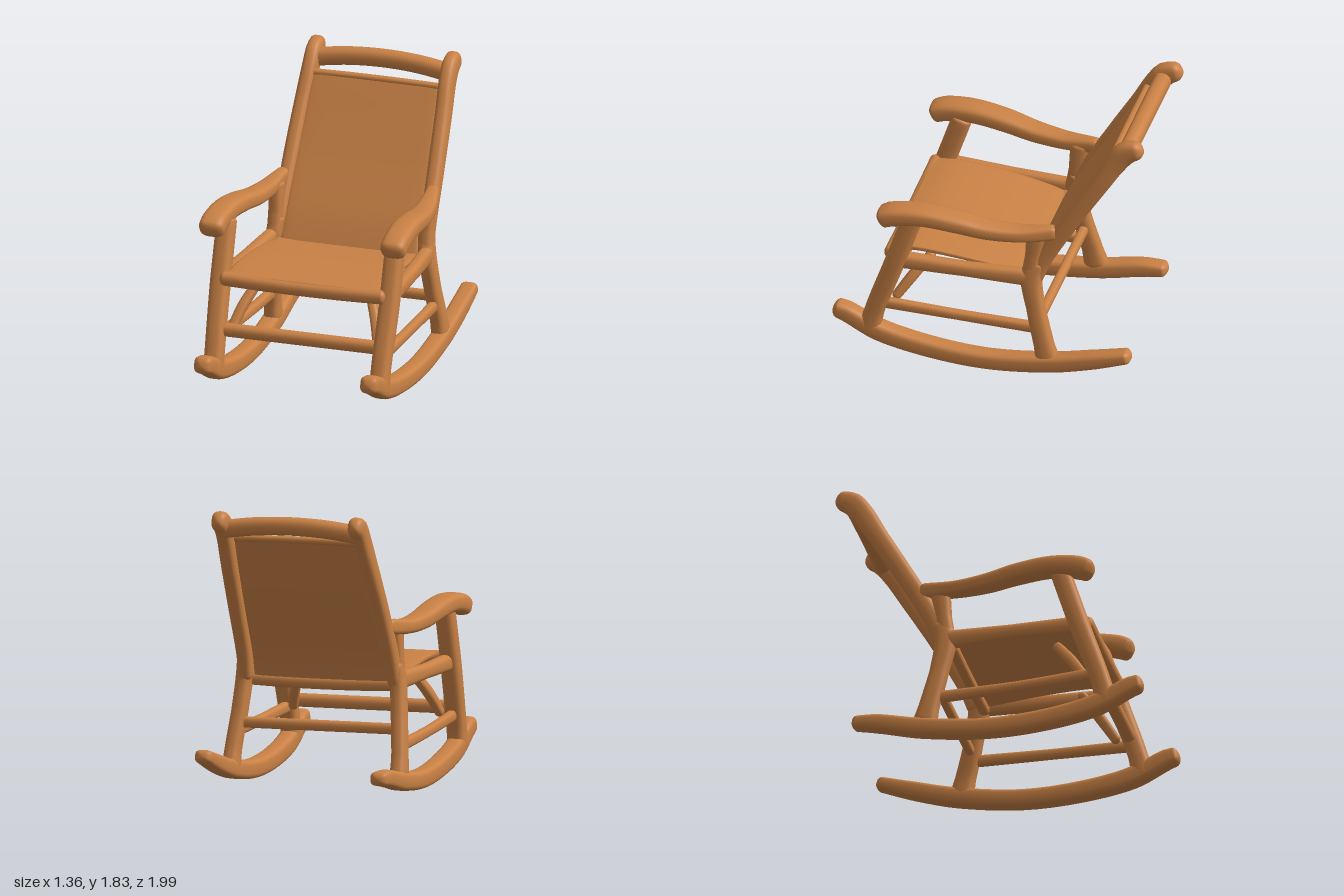
import * as THREE from 'three';

const wood = new THREE.MeshStandardMaterial({ color: 0xc98145 });
wood.name = 'warm wood';

const X = new THREE.Vector3(1, 0, 0);
const Z = new THREE.Vector3(0, 0, 1);

// Sweeps a rounded-box section along points [x, y, z, width, height].
// Width runs along ref; power < 1 squares the section; cap is the length of the domed ends.
function sweep(points, ref, { power = 0.75, cap = 0.03, steps = 28, sides = 24 } = {}) {
  const path = new THREE.CatmullRomCurve3(points.map(p => new THREE.Vector3(p[0], p[1], p[2])), false, 'centripetal');
  const size = t => {
    const f = Math.min(t, 0.99999) * (points.length - 1), i = Math.floor(f), k = f - i;
    return [3, 4].map(c => points[i][c] * (1 - k) + points[i + 1][c] * k);
  };
  const length = path.getLength(), rings = [];
  for (let i = 0; i < 6; i++) {
    const a = i / 6 * Math.PI / 2;
    rings.push([cap * (1 - Math.cos(a)) / length, Math.max(Math.sin(a), 0.001)]);
  }
  const ends = rings.map(([u, s]) => [1 - u, s]).reverse();
  const c = cap / length;
  for (let i = 0; i <= steps; i++) rings.push([c + (1 - 2 * c) * i / steps, 1]);
  rings.push(...ends);

  const position = [], index = [];
  const bend = v => Math.sign(v) * Math.abs(v) ** power;
  rings.forEach(([u, s], r) => {
    const t = path.getUtoTmapping(u);
    const centre = path.getPoint(t), tangent = path.getTangent(t), [w, h] = size(t);
    const right = ref.clone().addScaledVector(tangent, -ref.dot(tangent)).normalize();
    const up = tangent.clone().cross(right);
    for (let j = 0; j < sides; j++) {
      const a = j / sides * Math.PI * 2;
      const p = centre.clone()
        .addScaledVector(right, bend(Math.cos(a)) * s * w / 2)
        .addScaledVector(up, bend(Math.sin(a)) * s * h / 2);
      position.push(p.x, p.y, p.z);
      if (r < rings.length - 1) {
        const k = (j + 1) % sides, A = r * sides, B = A + sides;
        index.push(A + j, A + k, B + j, A + k, B + k, B + j);
      }
    }
  });
  const geometry = new THREE.BufferGeometry();
  geometry.setAttribute('position', new THREE.Float32BufferAttribute(position, 3));
  geometry.setIndex(index);
  geometry.computeVertexNormals();
  return geometry;
}

export function createModel() {
  const chair = new THREE.Group();
  chair.name = 'rockingChair';
  const add = (name, points, ref = X, options) => {
    const mesh = new THREE.Mesh(sweep(points, ref, options), wood);
    mesh.name = name;
    chair.add(mesh);
  };

  for (const s of [1, -1]) {
    const side = s > 0 ? 'left' : 'right';
    const part = (name, points, options) =>
      add(side + name, points.map(([x, ...rest]) => [x * s, ...rest]), X, options);
    const drop = s > 0 ? 0 : 0.05; // the right side sits slightly lower at the back

    // Curved runner
    part('Rocker', [
      [0.55, 0.285, 1.0, 0.11, 0.10], [0.55, 0.265, 0.92, 0.115, 0.12], [0.55, 0.165, 0.71, 0.12, 0.13],
      [0.55, 0.1 - drop * 0.1, 0.4, 0.12, 0.125], [0.555, 0.08 - drop * 0.3, 0, 0.12, 0.12],
      [0.56, 0.135 - drop * 0.6, -0.42, 0.12, 0.12], [0.565, 0.21 - drop, -0.7, 0.115, 0.11],
      [0.565, 0.285 - drop * 2.2, s > 0 ? -0.94 : -0.86, 0.11, 0.08],
    ], { power: 0.6, cap: 0.035, steps: 40 });

    // Legs and back post
    part('FrontLeg', [
      [0.55, 0.14, 0.77, 0.12, 0.15], [0.55, 0.3, 0.735, 0.12, 0.125],
      [0.56, 0.7, 0.6, 0.125, 0.13], [0.56, 1.1, 0.47, 0.12, 0.13],
    ], { power: 0.7 });
    part('BackLeg', [
      [0.555, 0.12, -0.4, 0.11, 0.16], [0.55, 0.25, -0.37, 0.10, 0.13],
      [0.525, 0.5, -0.31, 0.10, 0.12], [0.505, 0.73, -0.275, 0.10, 0.14], [0.49, 0.85, -0.31, 0.10, 0.12],
    ]);
    part('ArmSupport', [
      [0.505, 0.7, -0.265, 0.09, 0.12], [0.5, 0.88, -0.285, 0.09, 0.10], [0.5, 1.08, -0.31, 0.09, 0.13],
    ]);
    part('BackPost', [
      [0.495, 0.68, -0.275, 0.09, 0.12], [0.485, 0.85, -0.34, 0.095, 0.12], [0.475, 1.2, -0.535, 0.10, 0.12],
      [0.462, 1.5, -0.715, 0.10, 0.13], [0.452, 1.66, -0.81, 0.10, 0.145],
      [0.45, 1.745, -0.88, 0.10, 0.15], [0.45, 1.785, -0.985, 0.10, 0.11],
    ], { cap: 0.05, steps: 36 });

    // Armrest, wide and drooping at the front
    part('Armrest', [
      [0.6, 1.055, 0.69, 0.16, 0.12], [0.6, 1.095, 0.6, 0.165, 0.13], [0.59, 1.12, 0.42, 0.17, 0.12],
      [0.575, 1.1, 0.2, 0.165, 0.115], [0.555, 1.065, 0, 0.15, 0.105],
      [0.53, 1.055, -0.2, 0.125, 0.095], [0.505, 1.07, -0.36, 0.09, 0.10], [0.49, 1.085, -0.45, 0.07, 0.09],
    ], { power: 0.65, cap: 0.045, steps: 40 });

    // Side rails and slanting braces
    part('SeatRail', [
      [0.55, 0.725, 0.6, 0.09, 0.11], [0.535, 0.722, 0.15, 0.085, 0.095], [0.51, 0.72, -0.28, 0.085, 0.12],
    ]);
    part('LowerRail', [
      [0.55, 0.38, 0.7, 0.06, 0.075], [0.545, 0.37 - drop * 0.6, 0.2, 0.06, 0.065],
      [0.54, 0.365 - drop, -0.34, 0.06, 0.075],
    ]);
    part('SeatBrace', [
      [0.49, 0.38, 0.62, 0.06, 0.06], [0.44, 0.53, 0.52, 0.065, 0.07], [0.36, 0.69, 0.4, 0.06, 0.06],
    ]);
  }

  // A bar running across the chair: bowY and bowZ bend its middle
  const crossbar = (name, half, y, z, depth, height, bowY = 0, bowZ = 0) => add(name, [
    [-half, y, z, depth, height],
    [-half * 0.5, y + bowY * 0.75, z + bowZ * 0.75, depth, height],
    [0, y + bowY, z + bowZ, depth, height],
    [half * 0.5, y + bowY * 0.75, z + bowZ * 0.75, depth, height],
    [half, y, z, depth, height],
  ], Z, { power: 0.85 });
  crossbar('seatFrontBar', 0.55, 0.745, 0.63, 0.095, 0.09, -0.01);
  crossbar('seatBackBar', 0.5, 0.685, -0.235, 0.07, 0.08, -0.01);
  crossbar('lowerFrontBar', 0.55, 0.425, 0.685, 0.085, 0.085);
  crossbar('lowerBackBar', 0.53, 0.42, -0.33, 0.06, 0.07);
  crossbar('headRail', 0.46, 1.71, -0.865, 0.11, 0.115, 0.04, -0.015);
  crossbar('backPanelTopRoll', 0.44, 1.645, -0.77, 0.05, 0.045, 0.005);

  // Seat and back panels
  const panel = { power: 0.22, cap: 0.012, sides: 40 };
  add('seatPanel', [
    [0, 0.765, 0.65, 1.0, 0.035], [0, 0.785, 0.5, 1.0, 0.035], [0, 0.765, 0.15, 0.99, 0.03],
    [0, 0.725, -0.12, 0.96, 0.03], [0, 0.7, -0.25, 0.92, 0.03],
  ], X, panel);
  add('backPanel', [
    [0, 0.70, -0.24, 0.9, 0.035], [0, 0.85, -0.31, 0.88, 0.03],
    [0, 1.2, -0.515, 0.87, 0.03], [0, 1.66, -0.775, 0.83, 0.035],
  ], X, panel);
  return chair;
}
